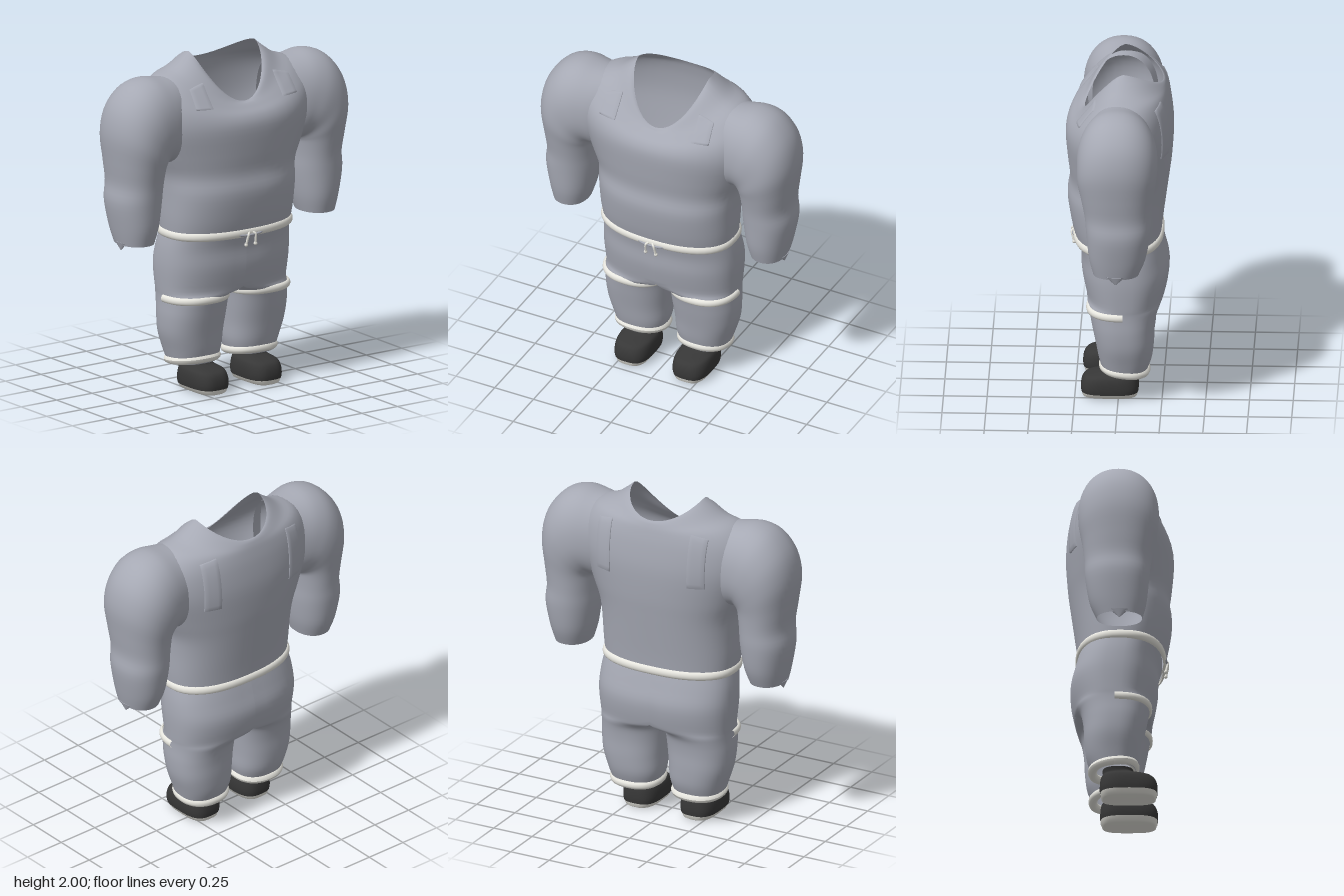
import * as THREE from 'three';

const N = 48; // points around each cross-section
const half = N / 2;
const mat = (name, color, side = THREE.FrontSide) =>
  Object.assign(new THREE.MeshStandardMaterial({ color, side }), { name });
const spow = (v, e) => Math.sign(v) * Math.abs(v) ** e;
const range = (n, f) => Array.from({ length: n }, (_, i) => f(i));
const lerp = THREE.MathUtils.lerp;
const V = (x, y, z) => new THREE.Vector3(x, y, z);

// Catmull-Rom interpolation between rows of section parameters
function smooth(rows, steps = 4) {
  const out = [], last = rows.length - 1;
  for (let i = 0; i <= last * steps; i++) {
    const k = Math.min(Math.floor(i / steps), last - 1), t = i / steps - k;
    const [a, b, c, d] = [Math.max(k - 1, 0), k, k + 1, Math.min(k + 2, last)].map(q => rows[q]);
    out.push(b.map((_, q) => b[q] + 0.5 * t * (c[q] - a[q] + t * (2 * a[q] - 5 * b[q] + 4 * c[q] - d[q]
      + t * (3 * (b[q] - c[q]) + d[q] - a[q])))));
  }
  return out;
}

// Skin a list of rings, ordered bottom to top
function skin(rings, closed = true, skip = () => false) {
  const n = rings[0].length, idx = [];
  for (let i = 0; i < rings.length - 1; i++)
    for (let j = 0; j < (closed ? n : n - 1); j++) {
      if (skip(i, j)) continue;
      const a = i * n + j, b = i * n + (j + 1) % n, c = a + n, d = b + n;
      idx.push(a, c, b, b, c, d);
    }
  const g = new THREE.BufferGeometry().setFromPoints(rings.flat());
  g.setIndex(idx);
  g.computeVertexNormals();
  return g;
}

// Mirror a geometry across x = 0, keeping faces outward
function mirror(geo) {
  const g = geo.clone(), p = g.attributes.position, ix = g.index.array;
  for (let i = 0; i < p.count; i++) p.setX(i, -p.getX(i));
  for (let i = 0; i < ix.length; i += 3) [ix[i], ix[i + 1]] = [ix[i + 1], ix[i]];
  g.computeVertexNormals();
  return g;
}

// Horizontal superellipse ring
const oval = (y, cx, cz, rx, rz, n = 2) => range(N, j => {
  const t = j / N * Math.PI * 2;
  return V(cx + rx * spow(Math.cos(t), 2 / n), y, cz + rz * spow(Math.sin(t), 2 / n));
});

// Rings of a band that swells outward from an oval
const bandRings = (y, cx, cz, rx, rz, n, h, bulge) => range(9, i => {
  const a = (i / 8 - 0.5) * Math.PI, o = bulge * Math.cos(a);
  return oval(y + h * Math.sin(a), cx, cz, rx + o, rz + o, n);
});

const cord = (pts, r, closed = false) =>
  new THREE.TubeGeometry(new THREE.CatmullRomCurve3(pts, closed), 64, r, 10, closed);

export function createModel() {
  const model = new THREE.Group();
  model.name = 'outfit';
  const cloth = mat('grey cloth', 0xa6a9b4, THREE.DoubleSide);
  const trim = mat('off-white trim', 0xe9e8e1, THREE.DoubleSide);
  const leather = mat('black leather', 0x373737, THREE.DoubleSide);
  const add = (name, geo, m) => {
    const mesh = new THREE.Mesh(geo, m);
    mesh.name = name;
    model.add(mesh);
    return mesh;
  };
  const pair = (name, geo, m) =>
    [add('left' + name, geo, m), add('right' + name, mirror(geo), m)];

  // Shirt body: front y, side y, back y, half width, front z, back z, squareness, dip power
  const torso = add('shirtBody', skin(smooth([
    [0.95, 0.95, 0.94, 0.405, 0.25, -0.238, 2.4, 2],
    [1.05, 1.05, 1.05, 0.415, 0.275, -0.25, 2.4, 2],
    [1.2, 1.2, 1.2, 0.422, 0.297, -0.27, 2.4, 2],
    [1.31, 1.31, 1.31, 0.435, 0.283, -0.285, 2.35, 2],
    [1.43, 1.43, 1.43, 0.485, 0.296, -0.3, 2.25, 2],
    [1.58, 1.61, 1.6, 0.55, 0.308, -0.31, 2.2, 2],
    [1.65, 1.76, 1.74, 0.54, 0.29, -0.298, 2.2, 2],
    [1.69, 1.865, 1.83, 0.46, 0.25, -0.28, 2.2, 2],
    [1.71, 1.91, 1.87, 0.35, 0.225, -0.267, 2.1, 2],
    [1.715, 1.965, 1.885, 0.272, 0.21, -0.258, 2, 2],
    [1.72, 2.0, 1.89, 0.23, 0.2, -0.25, 2, 1.5],
  ]).map(([yF, yS, yB, rx, zF, zB, n, p]) => range(N, j => {
    const t = j / N * Math.PI * 2, s = Math.sin(t);
    return V(rx * spow(Math.cos(t), 2 / n), yS + ((s > 0 ? yF : yB) - yS) * Math.abs(s) ** p,
      (zF + zB) / 2 + (zF - zB) / 2 * spow(s, 2 / n));
  }))), cloth);

  // Sleeves, wrist to shoulder: outer x, y, inner x, y, front z, back z
  const sleeves = pair('Sleeve', skin(smooth([
    [0.737, 0.94, 0.533, 0.94, 0.13, -0.13],
    [0.76, 1.04, 0.505, 1.04, 0.155, -0.17],
    [0.785, 1.19, 0.485, 1.18, 0.17, -0.195],
    [0.775, 1.3, 0.48, 1.28, 0.18, -0.2],
    [0.79, 1.43, 0.472, 1.36, 0.2, -0.21],
    [0.805, 1.6, 0.468, 1.38, 0.22, -0.225],
    [0.77, 1.75, 0.46, 1.39, 0.225, -0.235],
    [0.68, 1.86, 0.455, 1.39, 0.225, -0.235],
    [0.57, 1.9, 0.445, 1.38, 0.215, -0.225],
    [0.46, 1.888, 0.42, 1.37, 0.2, -0.21],
    [0.36, 1.875, 0.36, 1.37, 0.17, -0.19],
  ]).map(([ox, oy, ix, iy, zF, zB]) => range(N, j => {
    const t = j / N * Math.PI * 2, c = 0.5 + 0.5 * spow(Math.cos(t), 0.92);
    return V(lerp(ix, ox, c), lerp(iy, oy, c), (zF + zB) / 2 + (zF - zB) / 2 * spow(Math.sin(t), 0.92));
  }))), cloth);
  pair('CuffTab', new THREE.ConeGeometry(0.016, 0.05, 16).rotateX(Math.PI)
    .scale(1, 1, 3.5).translate(0.728, 0.93, 0), cloth);

  // Thin strap patches laid onto the shirt; corners are bottom then top [x, y]
  const ray = new THREE.Raycaster();
  model.updateMatrixWorld(true);
  const patch = ([bl, br, tl, tr], dir) => {
    const us = [0, 0.02, 0.25, 0.5, 0.75, 0.98, 1], vs = [0, 0.01, ...range(9, i => (i + 1) / 10), 0.99, 1];
    return skin(vs.map((v, i) => us.map((u, j) => {
      const x = lerp(lerp(bl[0], br[0], u), lerp(tl[0], tr[0], u), v);
      const y = lerp(lerp(bl[1], br[1], u), lerp(tl[1], tr[1], u), v);
      ray.set(V(x, y, dir * 2), V(0, 0, -dir));
      const hit = ray.intersectObjects([torso, ...sleeves])[0];
      const rim = i === 0 || j === 0 || i === vs.length - 1 || j === us.length - 1;
      return V(x, y, (hit ? hit.point.z : dir * 0.2) + dir * (rim ? 0.001 : 0.009));
    })), false);
  };
  pair('FrontStrap', patch([[0.352, 1.72], [0.245, 1.715], [0.345, 1.825], [0.245, 1.85]], 1), cloth);
  pair('BackStrap', patch([[0.25, 1.53], [0.35, 1.53], [0.255, 1.85], [0.355, 1.83]], -1), cloth);

  // Trouser halves, hem to waist: y, inner x, outer x, front z, back z, leg roundness
  const steps = 4, crotch = 6 * steps;
  pair('TrouserHalf', skin(smooth([
    [0.17, 0.06, 0.345, 0.09, -0.16, 1],
    [0.25, 0.035, 0.37, 0.112, -0.19, 1],
    [0.35, 0.028, 0.4, 0.13, -0.203, 1],
    [0.45, 0.018, 0.41, 0.15, -0.208, 1],
    [0.53, 0.01, 0.408, 0.165, -0.22, 1],
    [0.575, 0.005, 0.408, 0.177, -0.24, 0.75],
    [0.62, 0, 0.412, 0.19, -0.265, 0],
    [0.75, 0, 0.42, 0.215, -0.285, 0],
    [0.86, 0, 0.415, 0.22, -0.262, 0],
    [0.95, 0, 0.4, 0.24, -0.238, 0],
  ], steps).map(([y, xi, xo, zF, zB, round], i) => range(N, j => {
    const t = (j / N - 0.25) * Math.PI * 2, c = Math.cos(t), s = Math.sin(t);
    const k = i >= crotch ? 0 : THREE.MathUtils.clamp(round, 0, 1);
    const cz = (zF + zB) / 2, rz = (zF - zB) / 2;
    const outer = j <= half;
    const dx = outer ? xo * spow(c, 0.8) : 0;
    const dz = cz + rz * (outer ? spow(s, 0.8) : 3 - 4 * j / N);
    const ex = (xi + xo) / 2 + (xo - xi) / 2 * spow(c, 0.85);
    return V(Math.max(0, lerp(dx, ex, k)), y - (outer ? 0 : 0.03 * -c * (1 - k)),
      lerp(dz, cz + rz * spow(s, 0.85), k));
  })), true, (i, j) => i >= crotch && j >= half), cloth);

  // Waistband, knot and drawstring
  add('waistband', skin(bandRings(0.953, 0, 0.005, 0.4, 0.243, 2.45, 0.026, 0.018)), trim);
  add('waistKnot', cord([V(-0.1, 0.95, 0.25), V(-0.05, 0.942, 0.264), V(0.05, 0.942, 0.264),
    V(0.1, 0.95, 0.25)], 0.007), cloth);
  pair('Drawstring', cord([V(0.012, 0.955, 0.262), V(0.024, 0.945, 0.273), V(0.03, 0.91, 0.267),
    V(0.033, 0.88, 0.26)], 0.007), trim);
  pair('DrawstringTip', new THREE.SphereGeometry(0.011, 12, 8).translate(0.033, 0.883, 0.26), trim);

  // Knee bands round the front half of each leg
  pair('KneeBand', skin(bandRings(0.563, 0.213, -0.03, 0.195, 0.199, 2.35, 0.022, 0.016)
    .map(ring => ring.slice(0, half + 1)), false), trim);

  // Ankle cuffs, lower at the back
  pair('AnkleCuff', cord(oval(0, 0.2, -0.035, 0.138, 0.122, 2.3).map(p =>
    p.setY(0.186 + 0.12 * (p.z + 0.035))), 0.026, true), trim);

  // Shoes: y, centre z, half width, half length, squareness
  const shoe = rows => skin(rows.map(([y, cz, rx, rz, n]) => oval(y, 0.187, cz, rx, rz, n)));
  pair('Sole', shoe([
    [0.005, 0.05, 0, 0, 3.2], [0.005, 0.05, 0.075, 0.145, 3.2], [0.012, 0.05, 0.091, 0.155, 3.2],
    [0.038, 0.05, 0.106, 0.163, 3],
  ]), trim);
  pair('ShoeUpper', shoe(smooth([
    [0.036, 0.05, 0.106, 0.163, 3], [0.065, 0.05, 0.11, 0.166, 3], [0.105, 0.048, 0.109, 0.162, 2.8],
    [0.135, 0.04, 0.1, 0.148, 2.7], [0.15, 0.015, 0.083, 0.115, 2.5], [0.162, -0.008, 0.078, 0.09, 2.4],
    [0.182, -0.01, 0.083, 0.09, 2.4],
  ], 3)), leather);
  pair('Insole', shoe([[0.1, -0.005, 0.098, 0.1, 2.5], [0.102, -0.005, 0, 0, 2.5]]), trim);

  return model;
}
